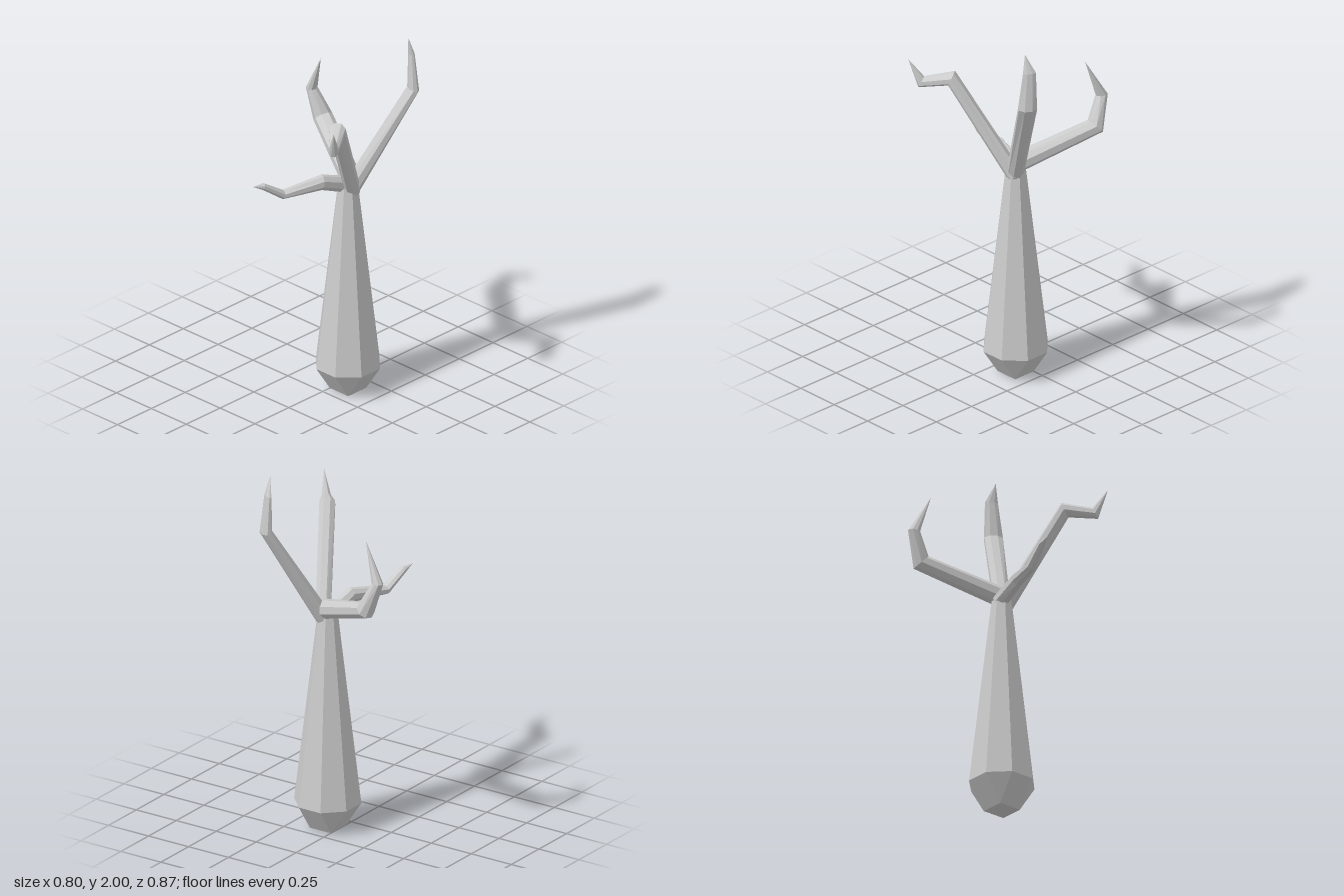
import * as THREE from 'three';

const material = new THREE.MeshStandardMaterial({ color: 0xcccccc, flatShading: true });

// Skin a list of equal-sized rings of points and cap both ends
function skin(rings, name) {
  const n = rings[0].length, last = (rings.length - 1) * n, index = [];
  for (let i = 0; i < rings.length - 1; i++) {
    for (let j = 0; j < n; j++) {
      const a = i * n + j, b = i * n + (j + 1) % n;
      index.push(a, b, b + n, a, b + n, a + n);
    }
  }
  for (let j = 1; j < n - 1; j++) {
    index.push(0, j + 1, j, last, last + j, last + j + 1);
  }
  const indexed = new THREE.BufferGeometry().setFromPoints(rings.flat());
  indexed.setIndex(index);
  const geometry = indexed.toNonIndexed();
  geometry.computeVertexNormals();
  const mesh = new THREE.Mesh(geometry, material);
  mesh.name = name;
  return mesh;
}

// Each station is [x, y, z, half width sideways, half thickness]
function branch(name, stations, sides = 8) {
  const points = stations.map(s => new THREE.Vector3(s[0], s[1], s[2]));
  const bend = points[1].clone().sub(points[0]);
  const level = new THREE.Vector3(bend.z, 0, -bend.x).normalize();
  const direction = (i, j) => points[j].clone().sub(points[i]).normalize();
  const rings = points.map((p, i) => {
    const tangent = new THREE.Vector3();
    if (i > 0) tangent.add(direction(i - 1, i));
    if (i < points.length - 1) tangent.add(direction(i, i + 1));
    tangent.normalize();
    const u = level.clone().addScaledVector(tangent, -level.dot(tangent)).normalize();
    const v = tangent.clone().cross(u);
    const [, , , w, t] = stations[i];
    return Array.from({ length: sides }, (_, j) => {
      const a = (j + 0.5) / sides * Math.PI * 2;
      return p.clone().addScaledVector(u, w * Math.cos(a)).addScaledVector(v, t * Math.sin(a));
    });
  });
  return skin(rings, name);
}

function trunk() {
  const cx = 0.065, cz = -0.12;
  const octagon = (y, r) => Array.from({ length: 8 }, (_, j) => {
    const a = (j + 0.5) * Math.PI / 4;
    return new THREE.Vector3(cx + r * Math.sin(a), y, cz + r * Math.cos(a));
  });
  const bulge = octagon(0.145, 0.177);
  // The foot is a square: pairs of octagon corners meet in one corner
  const foot = bulge.map(p => new THREE.Vector3(
    cx + 0.066 * Math.sign(p.x - cx), 0, cz + 0.066 * Math.sign(p.z - cz)));
  return skin([foot, bulge, octagon(1.18, 0.055)], 'trunk');
}

export function createModel() {
  const group = new THREE.Group();
  group.name = 'bareTree';
  group.add(
    trunk(),
    branch('rightBranch', [
      [0.09, 1.21, -0.125, 0.055, 0.053],
      [-0.31, 1.365, -0.32, 0.052, 0.05],
      [-0.372, 1.52, -0.302, 0.03, 0.032],
      [-0.28, 1.73, -0.275, 0, 0],
    ]),
    branch('backBranch', [
      [0.075, 1.15, -0.125, 0.045, 0.045],
      [0.253, 1.7, -0.408, 0.052, 0.03],
      [0.24, 1.9, -0.408, 0.036, 0.015],
      [0.245, 2.0, -0.38, 0, 0],
    ]),
    branch('leftBranch', [
      [0.085, 1.15, -0.135, 0.042, 0.042],
      [0.258, 1.665, 0.155, 0.044, 0.042],
      [0.353, 1.63, 0.283, 0.027, 0.034],
      [0.4, 1.76, 0.33, 0, 0],
    ]),
    branch('frontBranch', [
      [0.052, 1.18, -0.12, 0.042, 0.045],
      [0.033, 1.243, 0.045, 0.035, 0.041],
      [-0.044, 1.222, 0.25, 0.03, 0.024],
      [-0.074, 1.3, 0.365, 0.02, 0.018],
      [-0.088, 1.315, 0.425, 0, 0],
    ]),
  );
  return group;
}
